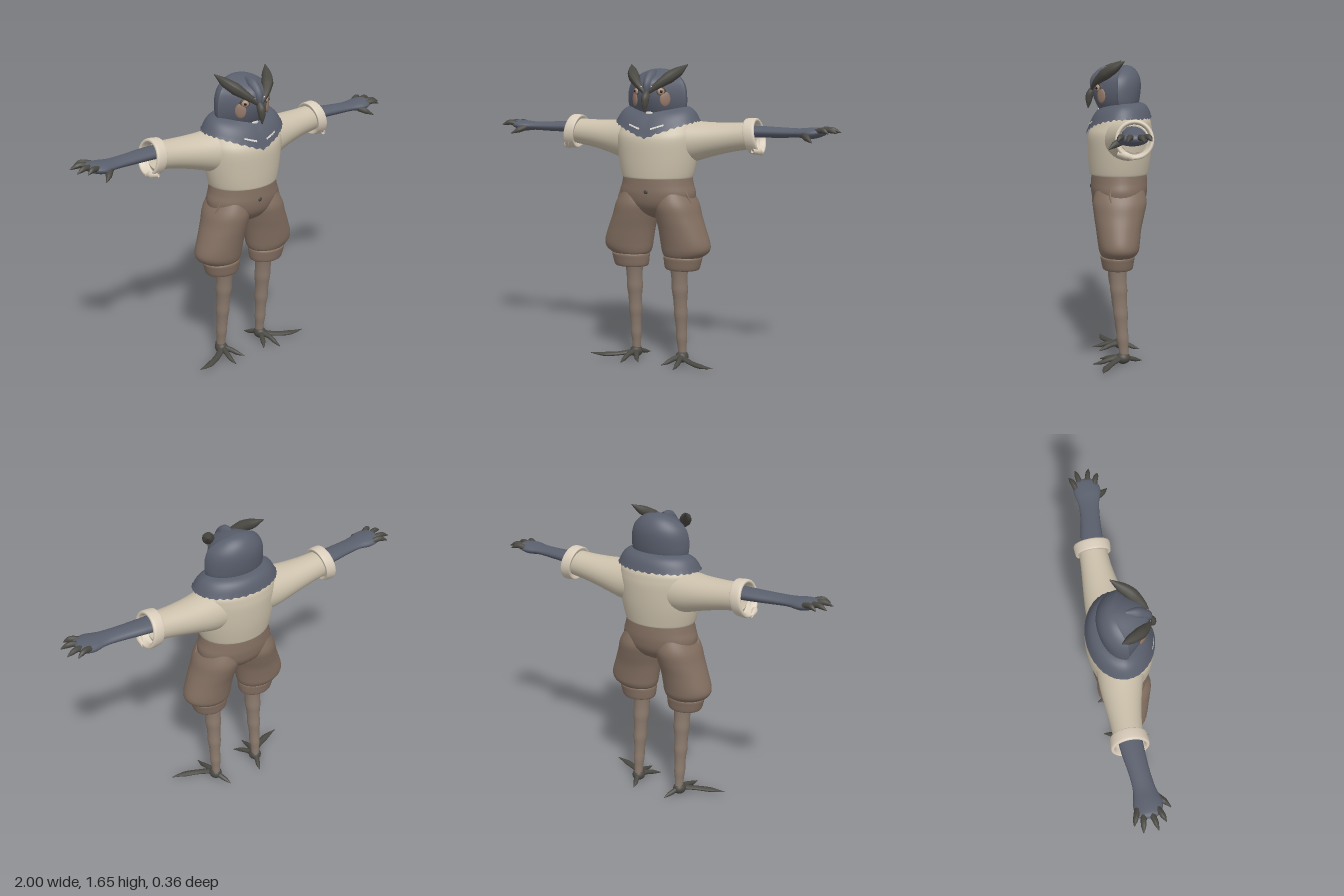
import * as THREE from 'three';

const V = (p) => new THREE.Vector3(...p);

function grid(rows, cols, wrap, flip, point) {
  const pos = [], idx = [], w = wrap ? cols : cols + 1;
  for (let j = 0; j <= rows; j++)
    for (let i = 0; i < w; i++) pos.push(...point(i / cols, j / rows, i, j));
  for (let j = 0; j < rows; j++)
    for (let i = 0; i < cols; i++) {
      const n = (i + 1) % w, a = j * w + i, b = j * w + n, c = a + w, d = b + w;
      if (flip) idx.push(a, b, c, b, d, c);
      else idx.push(a, c, b, b, c, d);
    }
  const g = new THREE.BufferGeometry();
  g.setAttribute('position', new THREE.Float32BufferAttribute(pos, 3));
  g.setIndex(idx);
  g.computeVertexNormals();
  return g;
}

// Smooth skin through oval rings [position on axis, u min, u max, z min, z max]
function loft(rings, axis = 'y', { sub = 4, seg = 36, front = 1, shear = 0 } = {}) {
  const n = rings.length - 1;
  const at = (t, k) => {
    const i = Math.min(Math.floor(t * n), n - 1), f = t * n - i;
    const [a, b, c, d] = [-1, 0, 1, 2].map((o) => rings[Math.max(0, Math.min(n, i + o))][k]);
    return b + 0.5 * f * (c - a + f * (2 * a - 5 * b + 4 * c - d + f * (3 * (b - c) + d - a)));
  };
  const flip = (axis === 'x') !== (rings[n][0] < rings[0][0]);
  return grid(n * sub, seg, true, flip, (s, t) => {
    const [p, u0, u1, z0, z1] = [0, 1, 2, 3, 4].map((k) => at(t, k));
    const c = Math.cos(s * 2 * Math.PI);
    let v = Math.sin(s * 2 * Math.PI);
    if (v > 0) v = v ** front;
    const u = (u0 + u1) / 2 + c * (u1 - u0) / 2, z = (z0 + z1) / 2 + v * (z1 - z0) / 2;
    return axis === 'x' ? [p - c * shear, u, z] : [u, p, z];
  });
}

// Tube along a curve whose radius changes; flat squashes its height
function taper(points, radii, flat = 1) {
  const n = 14, curve = new THREE.CatmullRomCurve3(points.map(V));
  const g = new THREE.TubeGeometry(curve, n, 1, 10), a = g.attributes.position, v = new THREE.Vector3();
  for (let k = 0; k < a.count; k++) {
    const t = Math.floor(k / 11) / n, p = curve.getPointAt(t);
    const f = t * (radii.length - 1), i = Math.min(Math.floor(f), radii.length - 2);
    const r = THREE.MathUtils.lerp(radii[i], radii[i + 1], f - i);
    v.fromBufferAttribute(a, k).sub(p).multiplyScalar(r);
    v.y *= flat;
    v.add(p);
    a.setXYZ(k, v.x, v.y, v.z);
  }
  g.computeVertexNormals();
  return g;
}

const blob = (c, s, turn = 0) =>
  new THREE.SphereGeometry(1, 20, 14).scale(...s).rotateY(turn).translate(...c);

function mirrored(geo) {
  const g = geo.clone().scale(-1, 1, 1), x = g.index;
  for (let i = 0; i < x.count; i += 3) {
    const b = x.getX(i + 1);
    x.setX(i + 1, x.getX(i + 2));
    x.setX(i + 2, b);
  }
  return g;
}

// Feather mantle surface: a is the angle from the front, t runs from neck to hem
function mantlePoint(a, t, lift = 0) {
  const s = Math.sin(a), w = Math.abs(s), c = Math.cos(a), f = Math.max(0, c);
  const hemY = c > 0 ? 1.25 + 0.088 * w : 1.338;
  const neckY = 1.425 - 0.03 * f, b = Math.sin(Math.PI * t);
  const x = s * (0.135 + 0.103 * t + 0.01 * b + lift);
  const z = c * (c > 0 ? 0.105 + (0.077 - 0.015 * w) * t + 0.006 * b : 0.09 + 0.078 * t + 0.012 * b);
  return [x, neckY + (hemY - neckY) * t + (0.022 - 0.012 * f) * b + lift, z + c * lift];
}

export function createModel() {
  const root = new THREE.Group();
  const mat = (name, color, side = THREE.FrontSide) => {
    const m = new THREE.MeshStandardMaterial({ color, side });
    m.name = name;
    return m;
  };
  const slate = mat('slate feathers', 0x5a5f6d, THREE.DoubleSide);
  const dark = mat('dark claws', 0x4a4842, THREE.DoubleSide);
  const shirt = mat('cream shirt', 0xcbc0ab, THREE.DoubleSide);
  const trim = mat('pale cuff', 0xd8ccba, THREE.DoubleSide);
  const cloth = mat('brown trousers', 0x836f61, THREE.DoubleSide);
  const skin = mat('taupe legs', 0x8b7a6d);
  const tan = mat('tan face patch', 0x94796a);
  const amber = mat('amber eye', 0xb0907a);
  const black = mat('black pupil', 0x1f1d1c);
  const white = mat('white feathers', 0xd9d6d0, THREE.DoubleSide);

  const add = (name, geo, m) => {
    const mesh = new THREE.Mesh(geo, m);
    mesh.name = name;
    root.add(mesh);
  };
  const pair = (name, geo, m) => {
    add('left' + name, geo, m);
    add('right' + name, mirrored(geo), m);
  };
  const sym = (y, x, z0, z1) => [y, -x, x, z0, z1];

  // Shirt body, sleeves and rolled cuffs
  add('shirtBody', loft([sym(1.05, 0.17, -0.12, 0.13), sym(1.037, 0.195, -0.148, 0.163),
    sym(1.06, 0.207, -0.156, 0.17), sym(1.15, 0.224, -0.169, 0.175), sym(1.25, 0.234, -0.174, 0.174),
    sym(1.3, 0.228, -0.17, 0.147), sym(1.34, 0.21, -0.158, 0.118), sym(1.38, 0.15, -0.11, 0.09),
    sym(1.4, 0, -0.01, -0.01)]), shirt);
  pair('Sleeve', loft([[0.1, 1.11, 1.36, -0.14, 0.12], [0.2, 1.125, 1.348, -0.14, 0.09],
    [0.3, 1.155, 1.34, -0.134, 0.062], [0.42, 1.185, 1.34, -0.124, 0.038],
    [0.53, 1.203, 1.345, -0.118, 0.028]], 'x'), shirt);
  const cuffRing = ([x, r]) => [x, 1.27 - r, 1.27 + r, -0.045 - r, -0.045 + r];
  pair('SleeveCuff', loft([[0.515, 0.068], [0.507, 0.088], [0.515, 0.094], [0.555, 0.097],
    [0.567, 0.092], [0.565, 0.08], [0.54, 0.072]].map(cuffRing), 'x', { shear: 0.016 }), trim);
  pair('CuffFlap', taper([[0.555, 1.2, 0.035], [0.575, 1.195, 0.0], [0.58, 1.18, -0.04]],
    [0.012, 0.018, 0.01]), trim);

  // Arms, hands and fingers
  pair('Arm', loft([[0.4, 1.26, 1.325, -0.1, 0.02], [0.56, 1.264, 1.326, -0.1, 0.018],
    [0.7, 1.268, 1.322, -0.08, 0.024], [0.79, 1.272, 1.32, -0.075, 0.036],
    [0.86, 1.267, 1.326, -0.088, 0.056], [0.92, 1.285, 1.325, -0.078, 0.034],
    [0.935, 1.305, 1.305, -0.02, -0.02]], 'x', { seg: 24 }), slate);
  const fingers = [[0.88, -0.07, 0.958, -0.1], [0.9, -0.045, 0.997, -0.062], [0.9, -0.01, 0.997, 0.012],
    [0.89, 0.025, 0.962, 0.055]];
  fingers.forEach(([x, z, tx, tz], i) => pair('Finger' + (i + 1), taper(
    [[x, 1.305, z], [(x + tx) / 2, 1.315, (z + tz) / 2], [tx, 1.3, tz]], [0.016, 0.015, 0.013, 0.002]), dark));
  pair('Thumb', taper([[0.83, 1.29, 0.03], [0.86, 1.272, 0.068], [0.888, 1.255, 0.094]],
    [0.02, 0.016, 0.002]), dark);

  // Trousers: hips, ballooned legs and gathered cuffs
  add('trouserHips', loft([sym(0.81, 0.01, -0.02, 0.03), sym(0.84, 0.12, -0.09, 0.1),
    sym(0.89, 0.2, -0.135, 0.145), sym(0.95, 0.218, -0.148, 0.16), sym(1, 0.205, -0.148, 0.159),
    sym(1.045, 0.196, -0.144, 0.156)]), cloth);
  pair('TrouserLeg', loft([[0.97, 0.02, 0.19, -0.12, 0.13], [0.9, -0.01, 0.234, -0.138, 0.152],
    [0.83, 0.002, 0.257, -0.125, 0.147], [0.76, 0.018, 0.284, -0.108, 0.137],
    [0.68, 0.03, 0.311, -0.098, 0.127], [0.64, 0.036, 0.305, -0.092, 0.12],
    [0.613, 0.047, 0.272, -0.075, 0.108], [0.6, 0.07, 0.24, -0.055, 0.09]]), cloth);
  pair('TrouserCuff', loft([[0.612, 0.07, 0.245, -0.055, 0.095], [0.608, 0.052, 0.266, -0.071, 0.112],
    [0.58, 0.051, 0.262, -0.068, 0.109], [0.545, 0.056, 0.252, -0.062, 0.102],
    [0.538, 0.066, 0.24, -0.054, 0.092], [0.56, 0.075, 0.23, -0.045, 0.085],
    [0.575, 0.14, 0.14, 0.02, 0.02]]), cloth);
  pair('PocketFold', taper([[0.193, 0.98, 0.062], [0.208, 0.93, 0.06], [0.226, 0.885, 0.04],
    [0.237, 0.868, 0]], [0.005, 0.007, 0.005]), cloth);
  add('trouserButton', blob([0, 0.97, 0.159], [0.012, 0.012, 0.006]), dark);

  // Knobbly bare legs
  const shins = [];
  for (let i = 0; i <= 12; i++) {
    const t = i / 12, y = 0.6 - 0.55 * t, k = i % 3 === 1 ? 0.003 : 0;
    const r = 0.051 - 0.028 * t + k, z = 0.028 - 0.043 * t;
    shins.push([y, 0.136 + 0.005 * t - r, 0.136 + 0.005 * t + r, z - r - 0.002, z + r + 0.002]);
  }
  pair('Shin', loft(shins, 'y', { seg: 20 }), skin);

  // Clawed feet
  pair('Foot', blob([0.142, 0.033, -0.01], [0.036, 0.033, 0.04]), dark);
  const toes = [
    [[0.14, 0.035, 0], [0.22, 0.024, 0.055], [0.3, 0.02, 0.09], [0.374, 0.023, 0.105]],
    [[0.14, 0.035, 0], [0.155, 0.03, 0.06], [0.16, 0.014, 0.11], [0.16, 0.006, 0.156]],
    [[0.14, 0.035, 0], [0.115, 0.03, 0.045], [0.09, 0.016, 0.09], [0.07, 0.008, 0.115]],
    [[0.14, 0.035, -0.01], [0.13, 0.026, -0.05], [0.115, 0.014, -0.085], [0.105, 0.006, -0.116]],
  ];
  toes.forEach((p, i) => pair('Toe' + (i + 1), taper(p, i ? [0.022, 0.015, 0.013, 0.002] : [0.022, 0.018, 0.02, 0.002],
    i ? 0.9 : 0.6), dark));

  // Feather mantle with a ragged hem, and pale chest streaks
  add('mantle', grid(12, 72, true, true, (s, t, i, j) => {
    const p = mantlePoint(s * 2 * Math.PI, t, 0.003);
    if (j === 12) p[1] += [0, 0.006, -0.002, 0.008][i % 4];
    return p;
  }), slate);
  pair('ChestStreak', grid(2, 12, false, true, (s, t, i) =>
    mantlePoint(0.14 + 0.32 * s, 0.74 + (0.05 + 0.02 * (i % 2)) * t, 0.007)), white);

  // Head
  add('head', loft([sym(1.35, 0.09, -0.06, 0.08), sym(1.38, 0.143, -0.083, 0.108),
    sym(1.42, 0.167, -0.1, 0.13), sym(1.47, 0.171, -0.109, 0.148), sym(1.52, 0.165, -0.112, 0.15),
    sym(1.56, 0.146, -0.106, 0.138), sym(1.595, 0.105, -0.088, 0.085), sym(1.618, 0.055, -0.06, 0.02),
    sym(1.625, 0, -0.025, -0.025)], 'y', { front: 2.6, seg: 48 }), slate);
  pair('EarTuft', taper([[0.012, 1.5, 0.15], [0.06, 1.54, 0.125], [0.115, 1.588, 0.07],
    [0.14, 1.612, 0.03], [0.168, 1.645, -0.015]], [0.012, 0.022, 0.032, 0.026, 0.002]), dark);
  add('forehead', taper([[0, 1.49, 0.146], [0, 1.54, 0.142], [0, 1.59, 0.085], [0, 1.61, 0.03]],
    [0.012, 0.024, 0.03, 0.01]), slate);
  add('beak', taper([[0, 1.5, 0.142], [0, 1.47, 0.163], [0, 1.43, 0.17], [0, 1.393, 0.174]],
    [0.016, 0.022, 0.017, 0.002]), dark);
  pair('CheekPatch', blob([0.088, 1.463, 0.104], [0.03, 0.04, 0.009], 0.74), tan);
  pair('EyeRim', blob([0.067, 1.503, 0.114], [0.03, 0.026, 0.014], 0.62), dark);
  pair('Eye', blob([0.069, 1.503, 0.118], [0.021, 0.02, 0.015], 0.62), amber);
  pair('Pupil', blob([0.076, 1.503, 0.128], [0.008, 0.008, 0.005], 0.62), black);
  pair('BrowFleck', blob([0.036, 1.527, 0.147], [0.011, 0.006, 0.004], 0.4), white);
  add('chinPatch', blob([0, 1.386, 0.113], [0.022, 0.014, 0.008]), white);

  return root;
}
